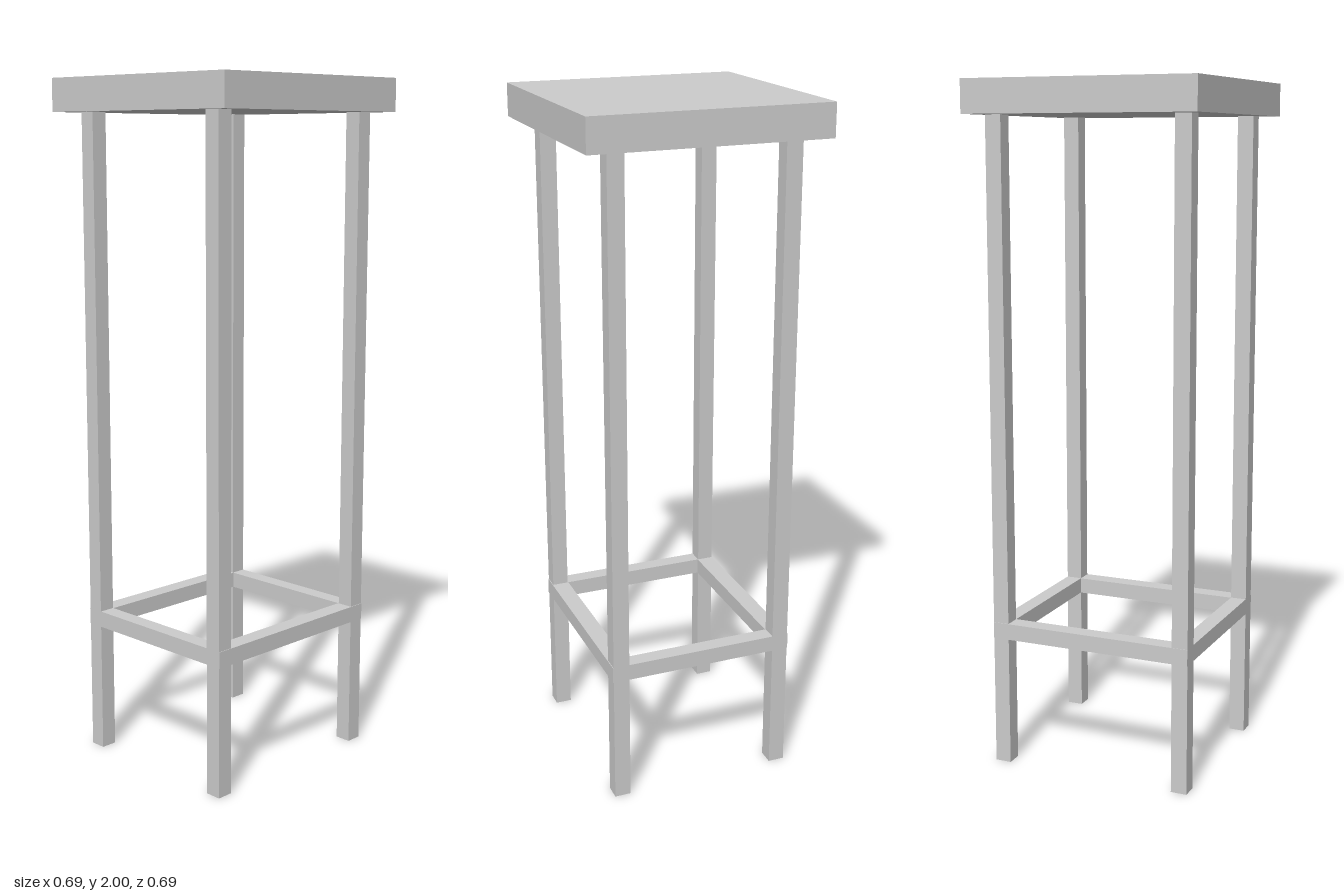
import * as THREE from 'three';

export function createModel() {
  const model = new THREE.Group();
  const material = new THREE.MeshStandardMaterial({ color: 0xcccccc, flatShading: true });

  function box(name, w, h, d, x, y, z) {
    const mesh = new THREE.Mesh(new THREE.BoxGeometry(w, h, d), material);
    mesh.name = name;
    mesh.position.set(x, y, z);
    model.add(mesh);
  }

  const seatSize = 0.692, seatThickness = 0.095;
  const legSize = 0.048, legHeight = 2 - seatThickness;
  const barSize = 0.048, barY = 0.41;

  // The leg frame sits slightly off the seat's centre
  const legX = { right: -0.278, left: 0.288 };
  const legZ = { front: 0.257, back: -0.246 };
  const midX = (legX.left + legX.right) / 2, spanX = legX.left - legX.right;
  const midZ = (legZ.front + legZ.back) / 2, spanZ = legZ.front - legZ.back;

  // Square seat slab
  box('seat', seatSize, seatThickness, seatSize, 0, 2 - seatThickness / 2, 0);

  // Four straight legs
  for (const [end, z] of Object.entries(legZ)) {
    for (const [side, x] of Object.entries(legX)) {
      box(`${end} ${side} leg`, legSize, legHeight, legSize, x, legHeight / 2, z);
    }
  }

  // Front and back footrest bars lap the legs, standing just proud of them
  for (const [end, z] of Object.entries(legZ)) {
    box(`${end} stretcher`, spanX + legSize, barSize, barSize + 0.004, midX, barY, z);
  }

  // Side bars run between the legs
  for (const [side, x] of Object.entries(legX)) {
    box(`${side} stretcher`, barSize, barSize, spanZ - legSize, x, barY, midZ);
  }

  return model;
}
